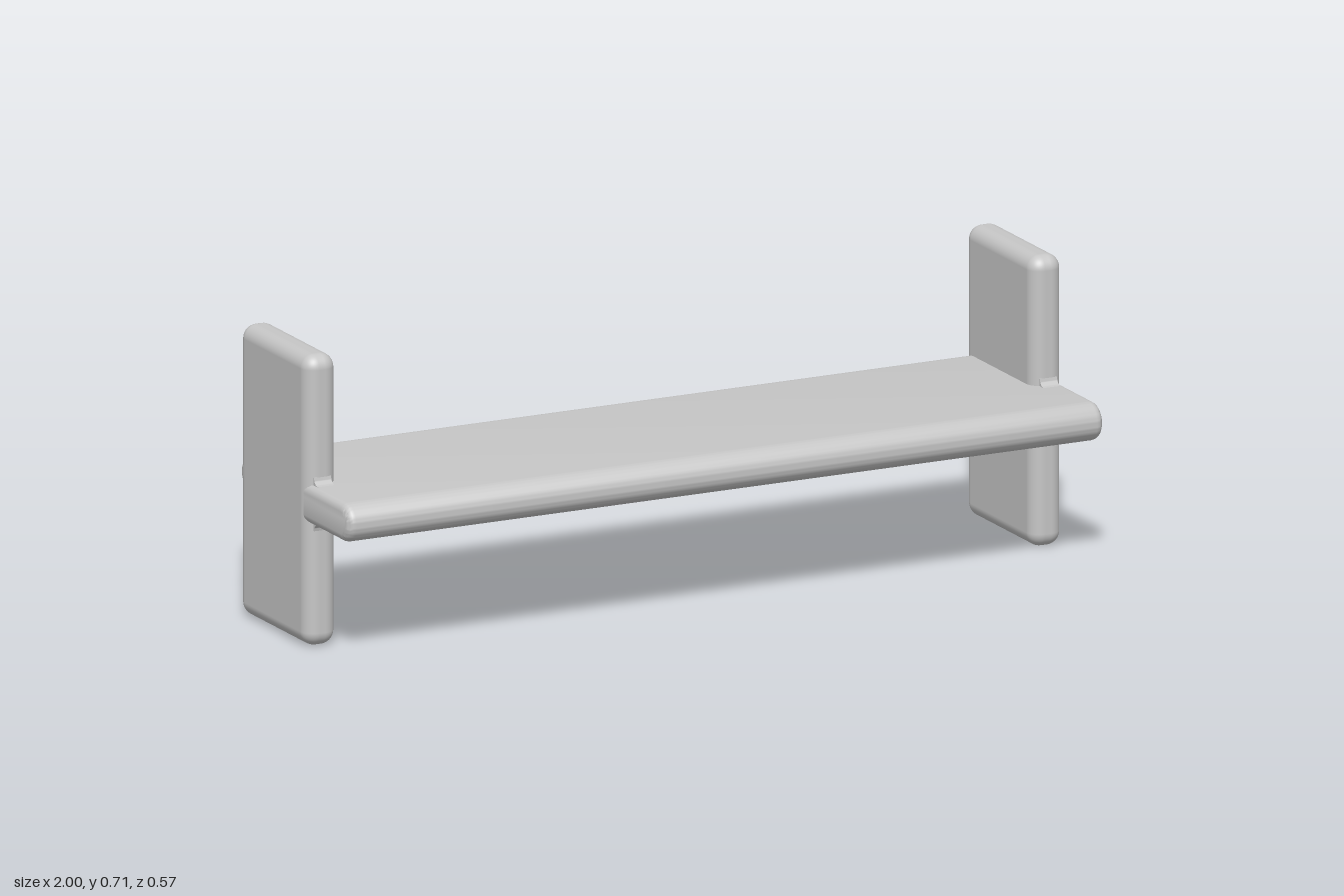
import * as THREE from 'three';
import { RoundedBoxGeometry } from 'three/addons/geometries/RoundedBoxGeometry.js';
import { toCreasedNormals } from 'three/addons/utils/BufferGeometryUtils.js';

const SHELF_Y = 0.35, SHELF_R = 0.047, HALF_DEPTH = 0.285;
const PANEL = { width: 0.083, height: 0.71, front: 0.07, back: -0.285 };

// Bullnose plank: a stadium profile run along x, with softened ends
function shelfGeometry() {
  const straight = HALF_DEPTH - SHELF_R, bevel = 0.02, half = 0.998;
  const profile = new THREE.Shape();
  profile.absarc(straight, 0, SHELF_R, -Math.PI / 2, Math.PI / 2, false);
  profile.absarc(-straight, 0, SHELF_R, Math.PI / 2, Math.PI * 1.5, false);
  const geometry = new THREE.ExtrudeGeometry(profile, {
    depth: 2 * (half - bevel), curveSegments: 14,
    bevelThickness: bevel, bevelSize: bevel, bevelOffset: -bevel, bevelSegments: 4,
  });
  geometry.translate(0, 0, -(half - bevel)).rotateY(-Math.PI / 2);
  return toCreasedNormals(geometry, 0.7);
}

// Small concave blend where the front of a panel meets the shelf
function filletGeometry() {
  const r = 0.018, sink = 0.015, width = 0.045;
  const profile = new THREE.Shape();
  profile.moveTo(-sink, -sink);
  profile.lineTo(r, -sink);
  profile.lineTo(r, 0);
  profile.absarc(r, r, r, -Math.PI / 2, -Math.PI, true);
  profile.lineTo(-sink, r);
  const geometry = new THREE.ExtrudeGeometry(profile, { depth: width, bevelEnabled: false, curveSegments: 6 });
  geometry.translate(0, 0, -width / 2).rotateY(-Math.PI / 2);
  return toCreasedNormals(geometry, 0.6);
}

export function createModel() {
  const model = new THREE.Group();
  model.name = 'bench';
  const grey = new THREE.MeshStandardMaterial({ name: 'light grey', color: 0xc6c6c6 });

  const add = (parent, name, geometry, x, y, z) => {
    const mesh = new THREE.Mesh(geometry, grey);
    mesh.name = name;
    mesh.position.set(x, y, z);
    parent.add(mesh);
    return mesh;
  };

  add(model, 'shelf', shelfGeometry(), 0, SHELF_Y, 0);

  // Upright end panels, flush with the back of the shelf
  const depth = PANEL.front - PANEL.back;
  const panel = new RoundedBoxGeometry(PANEL.width, PANEL.height, depth, 6, 0.034);
  const fillet = filletGeometry();
  for (const [name, side] of [['left', 1], ['right', -1]]) {
    const end = new THREE.Group();
    end.name = name + 'End';
    end.position.x = side * (1 - PANEL.width / 2);
    model.add(end);
    add(end, name + 'Panel', panel, 0, PANEL.height / 2, (PANEL.front + PANEL.back) / 2);
    add(end, name + 'UpperFillet', fillet, 0, SHELF_Y + SHELF_R, PANEL.front);
    // Half turn about z flips the blend to the underside
    add(end, name + 'LowerFillet', fillet, 0, SHELF_Y - SHELF_R, PANEL.front).rotation.z = Math.PI;
  }
  return model;
}
